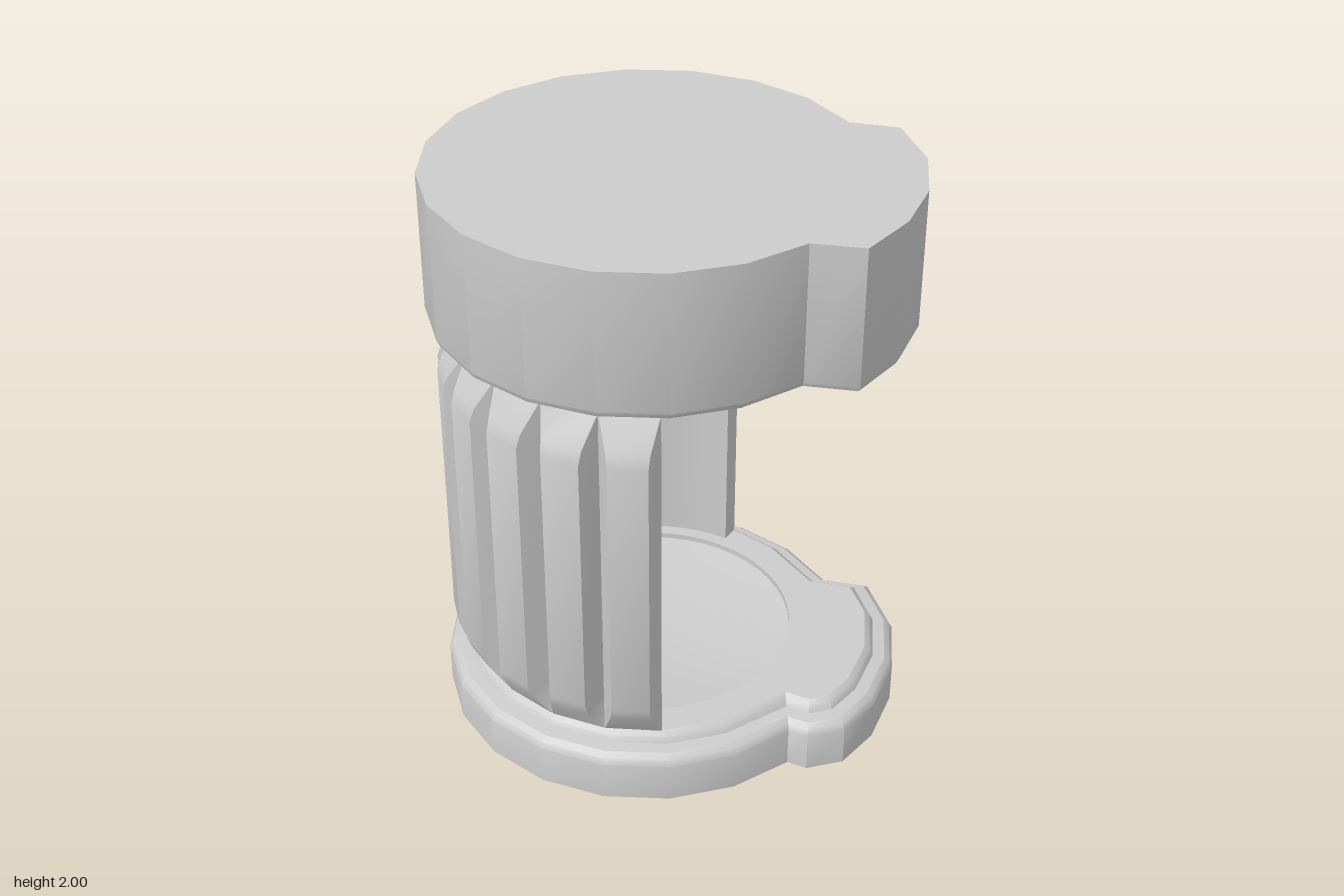
import * as THREE from 'three';
import { toCreasedNormals } from 'three/addons/utils/BufferGeometryUtils.js';

const CX = -0.08; // axis of the round body; the lobe sits to its +x side
const material = new THREE.MeshStandardMaterial({ color: 0xcccccc });
const openMaterial = new THREE.MeshStandardMaterial({ color: 0xcccccc, side: THREE.DoubleSide });

// Plan points use (x, -z), counter-clockwise from above
const polar = (r, deg) => {
  const a = THREE.MathUtils.degToRad(deg);
  return new THREE.Vector2(CX + r * Math.cos(a), r * Math.sin(a));
};

// Joins equal-length plan rings, bottom to top, into a side surface
function loft(rings) {
  const n = rings[0].points.length, pos = [], index = [];
  rings.forEach(({ points, y }, j) => points.forEach((p, i) => {
    pos.push(p.x, y, -p.y);
    if (j === rings.length - 1) return;
    const a = j * n + i, b = j * n + (i + 1) % n;
    index.push(a, b, b + n, a, b + n, a + n);
  }));
  const g = new THREE.BufferGeometry();
  g.setAttribute('position', new THREE.Float32BufferAttribute(pos, 3));
  g.setIndex(index);
  return toCreasedNormals(g, 0.5);
}

// Mitred inward offset of an outline
function inset(points, d) {
  const n = points.length;
  return points.map((p, i) => {
    const e1 = p.clone().sub(points[(i + n - 1) % n]).normalize();
    const e2 = points[(i + 1) % n].clone().sub(p).normalize();
    const n1 = new THREE.Vector2(-e1.y, e1.x), n2 = new THREE.Vector2(-e2.y, e2.x);
    return p.clone().addScaledVector(n1.add(n2), d / (1 + e1.dot(e2)));
  });
}

// Flat horizontal face, optionally with a round opening
function flatFace(points, y, holeRadius) {
  const shape = new THREE.Shape(points);
  if (holeRadius) shape.holes.push(new THREE.Path().absarc(CX, 0, holeRadius, 0, Math.PI * 2, true));
  return new THREE.ShapeGeometry(shape, 24).rotateX(-Math.PI / 2).translate(0, y, 0);
}

// Twenty-sided disc with a lobe on its right
function discOutline(lobe) {
  const points = lobe.map(([x, y]) => new THREE.Vector2(x, y));
  for (let k = 0; k <= 16; k++) points.push(polar(0.71, 55.5 + 18 * k));
  return points;
}

function disc(name, outline, profile, outerY, innerY, dishSign) {
  const group = new THREE.Group();
  group.name = name;
  const add = (part, geometry, mat) => {
    const mesh = new THREE.Mesh(geometry, mat);
    mesh.name = name + part;
    group.add(mesh);
    return mesh;
  };
  const rim = inset(outline, 0.1);
  add('Side', loft(profile.map(([d, y]) => ({ points: inset(outline, d), y }))), material);
  add('OuterFace', flatFace(outline, outerY), openMaterial);
  add('InnerFace', flatFace(rim, innerY, 0.5), openMaterial);
  // Shallow dished seat facing the chamber
  const dish = [[0, 0.07], [0.15, 0.066], [0.3, 0.053], [0.42, 0.035], [0.5, 0.02], [0.5, 0]]
    .map(([r, d]) => new THREE.Vector2(r, dishSign * d));
  const seat = add('Seat', toCreasedNormals(new THREE.LatheGeometry(dish, 48), 0.5), openMaterial);
  seat.position.set(CX, innerY, 0);
  return group;
}

// Plan of the curved wall: fluted outside, smooth inside
function wallRing(peakRadius, grooveHalfAngle) {
  const points = [];
  for (let k = 0; k <= 12; k++) {
    const a = 90 + 18 * k;
    points.push(polar(0.61, a));
    if (k < 12) points.push(polar(peakRadius, a + grooveHalfAngle), polar(peakRadius, a + 18 - grooveHalfAngle));
  }
  for (let a = 306; a >= 90; a -= 6) points.push(polar(0.545, a));
  return points;
}

export function createModel() {
  const model = new THREE.Group();
  model.name = 'flutedChamber';

  // Base plate with a stepped rim
  const baseLobe = [[0.67, -0.195], [0.76, -0.1], [0.785, 0.07], [0.75, 0.28], [0.65, 0.48], [0.48, 0.635]];
  model.add(disc('base', discOutline(baseLobe),
    [[0, 0], [0, 0.14], [0.01, 0.16], [0.03, 0.175], [0.07, 0.18], [0.08, 0.2], [0.1, 0.215]],
    0, 0.215, -1));

  // Thick cap with a rounded lower edge and short neck
  const capLobe = [[0.76, -0.14], [0.785, 0.07], [0.75, 0.28], [0.65, 0.48], [0.48, 0.635]];
  model.add(disc('cap', discOutline(capLobe),
    [[0.1, 1.455], [0.095, 1.475], [0.075, 1.49], [0.03, 1.5], [0.01, 1.51], [0, 1.53], [0, 2]],
    2, 1.455, 1));

  // Wall whose grooves close at its chamfered ends
  const wall = new THREE.Mesh(loft([
    { points: wallRing(0.612, 0.3), y: 0.215 },
    { points: wallRing(0.67, 3.2), y: 0.315 },
    { points: wallRing(0.685, 3.7), y: 0.36 },
    { points: wallRing(0.685, 3.7), y: 1.31 },
    { points: wallRing(0.67, 3.2), y: 1.355 },
    { points: wallRing(0.612, 0.3), y: 1.455 },
  ]), material);
  wall.name = 'flutedWall';
  model.add(wall);
  return model;
}
